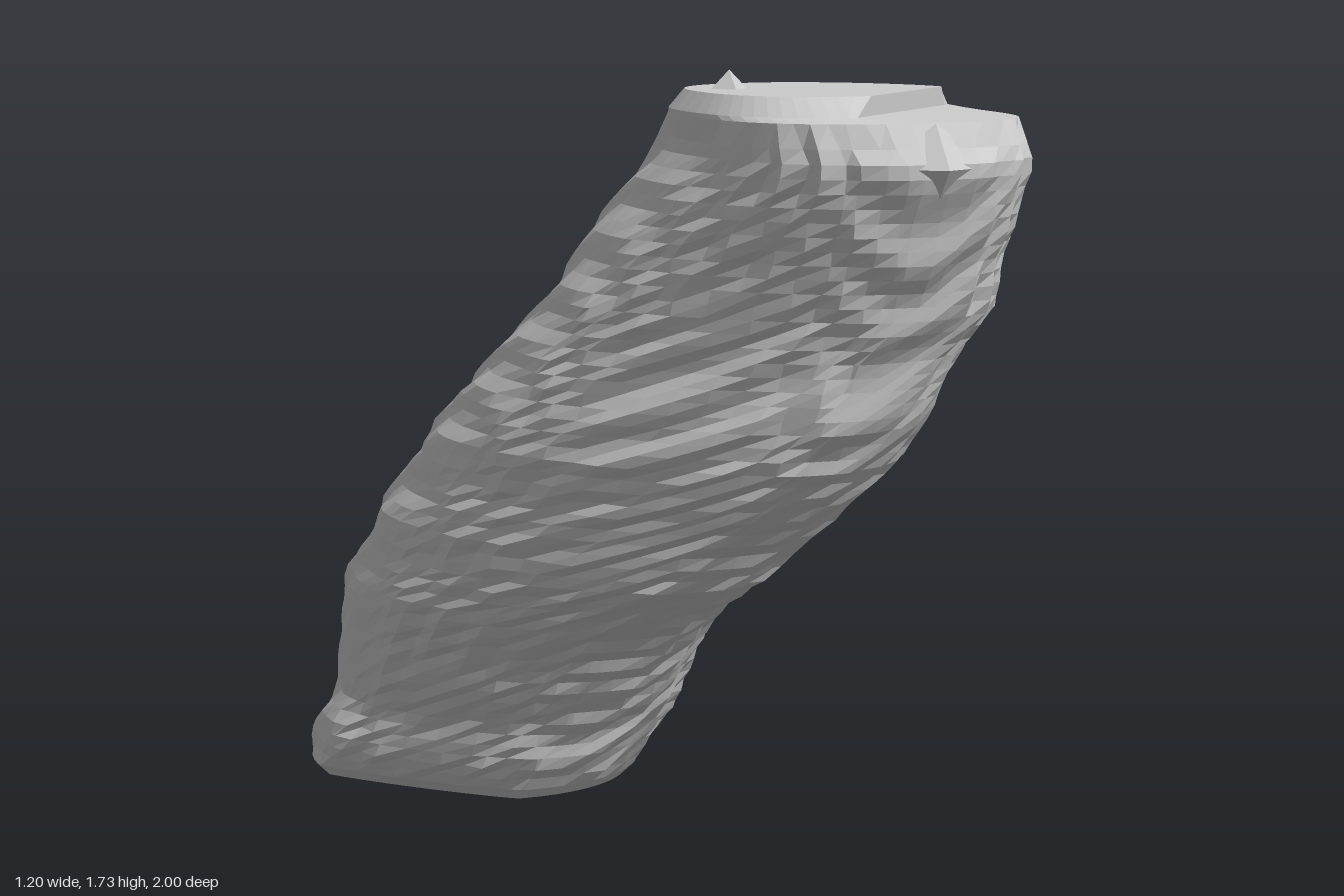
import * as THREE from 'three';

// Column outline by height: [y, xMin, xMax, zMin, zMax]
const PROFILE = [
  [0, -0.57, 0.16, -0.98, -0.24],
  [0.03, -0.6, 0.18, -1, -0.2],
  [0.1, -0.6, 0.19, -0.97, -0.14],
  [0.2, -0.55, 0.23, -0.93, -0.09],
  [0.38, -0.55, 0.23, -0.86, 0.07],
  [0.5, -0.55, 0.24, -0.81, 0.22],
  [0.6, -0.51, 0.29, -0.74, 0.39],
  [0.7, -0.5, 0.36, -0.66, 0.49],
  [0.8, -0.45, 0.41, -0.57, 0.61],
  [0.9, -0.43, 0.47, -0.46, 0.71],
  [1.0, -0.38, 0.51, -0.35, 0.77],
  [1.15, -0.3, 0.56, -0.2, 0.81],
  [1.22, -0.26, 0.61, -0.1, 0.84],
  [1.4, -0.17, 0.61, -0.03, 0.92],
  [1.55, -0.09, 0.61, 0.1, 0.97],
  [1.64, -0.08, 0.59, 0.18, 0.92],
  [1.65, -0.08, 0.55, 0.2, 0.88],
  [1.69, -0.05, 0.51, 0.24, 0.82],
];
// Corner fullness by height: [y, front left, front right, back right, back left]
const CORNERS = [
  [0, 2.2, 1.1, 2.0, 2.4],
  [0.3, 2.2, 1.8, 2.1, 2.6],
  [0.6, 2.2, 1.7, 2.2, 3.0],
  [1.1, 2.1, 1.4, 2.3, 3.3],
  [1.35, 2.1, 1.65, 2.3, 3.0],
  [1.55, 2.6, 2.2, 2.4, 2.1],
  [1.69, 3.2, 2.6, 2.4, 1.6],
];
const SIDES = 56, HEIGHT = 1.69, STEP = 0.065;

// Row of a table, interpolated at height y
function rowAt(table, y) {
  let i = 0;
  while (i < table.length - 2 && table[i + 1][0] < y) i++;
  const a = table[i], b = table[i + 1];
  const t = (y - a[0]) / (b[0] - a[0]);
  return a.map((v, k) => v + (b[k] - v) * t);
}

// Pulls a coordinate towards evenly spaced terraces
const terrace = v => v - Math.sin((v / STEP) * Math.PI * 2) * STEP * 0.13;

// One sheared cross-section with four different corners, fitted to the outline
function section(y) {
  const [, x0, x1, z0, z1] = rowAt(PROFILE, y);
  const corners = rowAt(CORNERS, y);
  const shear = 0.24 * Math.sin(Math.PI * y / HEIGHT);
  const unit = [];
  let reach = 0;
  for (let j = 0; j < SIDES; j++) {
    const t = (j / SIDES) * Math.PI * 2, c = Math.cos(t), s = Math.sin(t);
    const power = 2 / corners[1 + Math.floor(j / (SIDES / 4))];
    const z = Math.sign(s) * Math.abs(s) ** power;
    const x = Math.sign(c) * Math.abs(c) ** power + shear * z;
    reach = Math.max(reach, Math.abs(x));
    unit.push([x, z]);
  }
  return unit.map(([ux, uz]) => {
    let x = (x0 + x1) / 2 + (ux / reach) * (x1 - x0) / 2;
    let z = (z0 + z1) / 2 + uz * (z1 - z0) / 2;
    if (y > 0.05 && y < 1.6) { x = terrace(x); z = terrace(z); }
    // Diagonal step across the front corner of the top
    const over = y > 1.645 ? Math.max(0, x + z - 1.03) / 2 : 0;
    return [x - over, y, z - over];
  });
}

function columnGeometry() {
  const levels = [0, 0.015, 0.03];
  for (let y = 0.06; y < 1.62; y += 0.03) levels.push(y);
  levels.push(1.64, 1.65, HEIGHT);
  const pos = [], index = [];
  for (const y of levels) for (const p of section(y)) pos.push(...p);
  for (let i = 0; i < levels.length - 1; i++) {
    for (let j = 0; j < SIDES; j++) {
      const a = i * SIDES + j, b = i * SIDES + (j + 1) % SIDES;
      const c = a + SIDES, d = b + SIDES;
      index.push(a, c, b, b, c, d);
    }
  }
  // Flat end caps
  for (const top of [false, true]) {
    const [, x0, x1, z0, z1] = rowAt(PROFILE, top ? HEIGHT : 0);
    const centre = pos.length / 3, start = top ? (levels.length - 1) * SIDES : 0;
    pos.push((x0 + x1) / 2 - (top ? 0.05 : 0), top ? HEIGHT : 0, (z0 + z1) / 2);
    for (let j = 0; j < SIDES; j++) {
      const a = start + j, b = start + (j + 1) % SIDES;
      index.push(centre, ...(top ? [b, a] : [a, b]));
    }
  }
  const g = new THREE.BufferGeometry();
  g.setAttribute('position', new THREE.Float32BufferAttribute(pos, 3));
  g.setIndex(index);
  g.computeVertexNormals();
  return g;
}

export function createModel() {
  const group = new THREE.Group();
  group.name = 'leaningRockColumn';
  const material = new THREE.MeshStandardMaterial({ color: 0xcccccc, flatShading: true });
  const add = (name, geometry) => {
    const mesh = new THREE.Mesh(geometry, material);
    mesh.name = name;
    group.add(mesh);
    return mesh;
  };

  add('column', columnGeometry());

  // Small pointed chip on the top face
  const chip = add('topChip', new THREE.OctahedronGeometry(0.045));
  chip.position.set(0.05, 1.685, 0.45);

  // Blunt nose on the upper front edge
  const nose = add('frontNose', new THREE.OctahedronGeometry(1));
  nose.scale.set(0.13, 0.09, 0.07);
  nose.position.set(0.31, 1.55, 0.93);

  return group;
}
